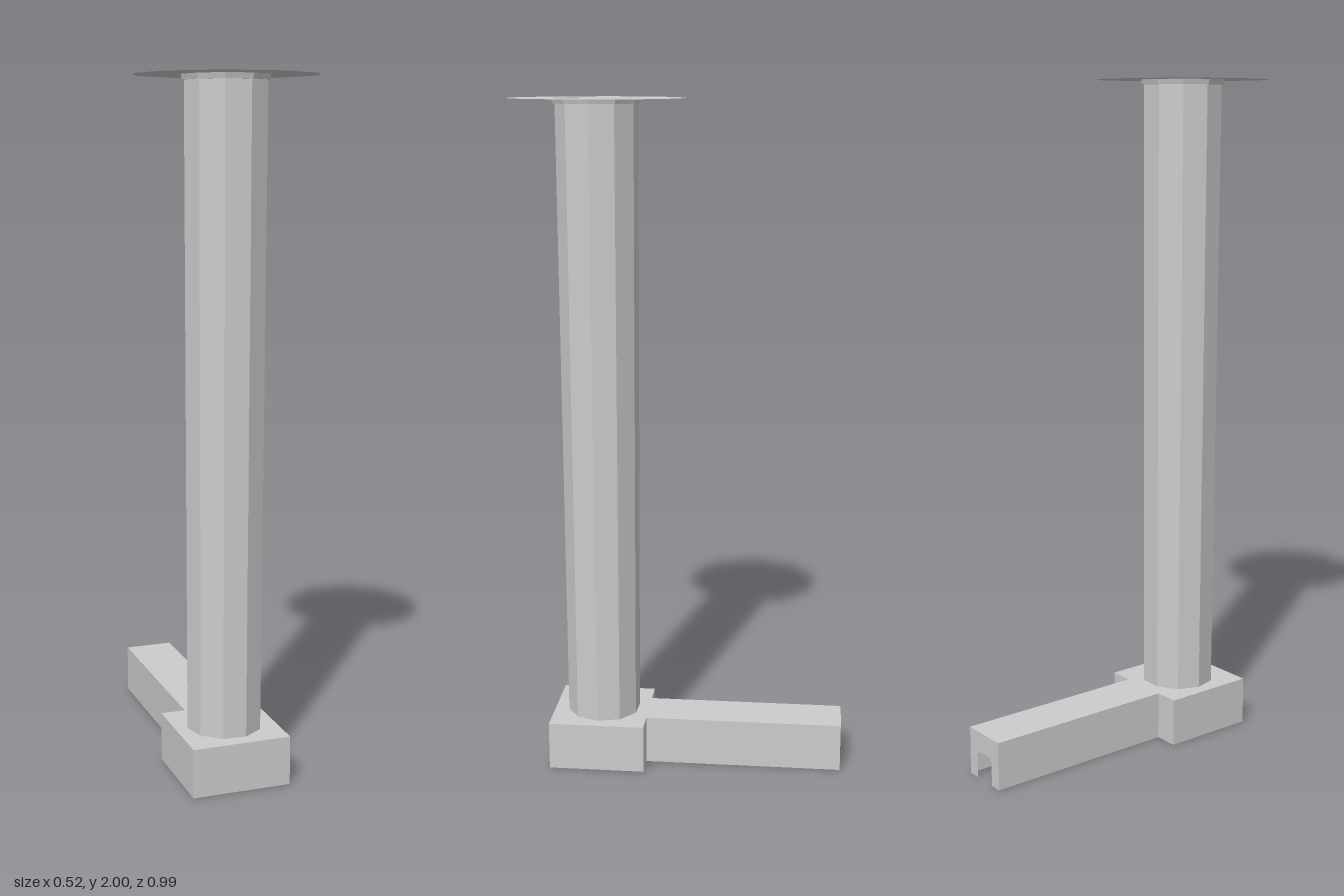
import * as THREE from 'three';

const material = new THREE.MeshStandardMaterial({
  color: 0xcccccc, flatShading: true, side: THREE.DoubleSide,
});
const SIDES = 10;
const PIPE_Z = 0.24;
const BASE_H = 0.145;
const PHI = Math.PI / 2 - 0.058; // slight twist of the decagon

function mesh(name, geometry) {
  const m = new THREE.Mesh(geometry, material);
  m.name = name;
  return m;
}

// Ten-sided open surface around the pipe axis, from [radius, height] pairs
function turned(name, profile) {
  const points = profile.map(([r, y]) => new THREE.Vector2(r, y));
  const m = mesh(name, new THREE.LatheGeometry(points, SIDES, PHI));
  m.position.z = PIPE_Z;
  return m;
}

// Upright wall standing between two floor points [x, z]
function wall(name, [ax, az], [bx, bz], geometry) {
  const length = Math.hypot(bx - ax, bz - az);
  const m = mesh(name, geometry || new THREE.PlaneGeometry(length, BASE_H));
  m.position.set((ax + bx) / 2, BASE_H / 2, (az + bz) / 2);
  m.rotation.y = Math.atan2(az - bz, bx - ax);
  return m;
}

export function createModel() {
  const model = new THREE.Group();

  // Tapered hollow pipe, stepped collar and flat flange at the top
  model.add(turned('pipe', [[0.111, BASE_H], [0.119, 1.985]]));
  model.add(turned('collar', [[0.119, 1.985], [0.124, 1.985], [0.128, 2]]));
  model.add(turned('flange', [[0.128, 2], [0.262, 2]]));

  // Hollow base: square foot with a long arm behind, open underneath
  const base = new THREE.Group();
  base.name = 'base';
  const w = 0.147, a = 0.074, front = 0.39, back = 0.1, end = -0.495;
  const outline = [
    [-w, front], [w, front], [w, back], [a, back],
    [a, end], [-a, end], [-a, back], [-w, back],
  ];

  // Top plate with the pipe opening
  const top = new THREE.Shape(outline.map(([x, z]) => new THREE.Vector2(x, -z)));
  const opening = [];
  for (let i = 0; i < SIDES; i++) {
    const t = PHI + (i / SIDES) * Math.PI * 2;
    opening.push(new THREE.Vector2(0.111 * Math.sin(t), -PIPE_Z - 0.111 * Math.cos(t)));
  }
  top.holes.push(new THREE.Path(opening));
  const plate = mesh('topPlate', new THREE.ShapeGeometry(top).rotateX(-Math.PI / 2));
  plate.position.y = BASE_H;
  base.add(plate);

  // End wall of the arm, with a chamfered notch at the bottom
  const h = BASE_H / 2;
  const endShape = new THREE.Shape([
    [-a, -h], [-0.037, -h], [-0.037, 0.0], [-0.025, 0.012],
    [0.025, 0.012], [0.037, 0.0], [0.037, -h], [a, -h], [a, h], [-a, h],
  ].map(([x, y]) => new THREE.Vector2(x, y)));

  outline.forEach((p, i) => {
    const q = outline[(i + 1) % outline.length];
    const isEnd = i === 4;
    base.add(wall(isEnd ? 'notchedEnd' : 'baseWall', p, q,
      isEnd ? new THREE.ShapeGeometry(endShape) : null));
  });
  model.add(base);

  return model;
}
